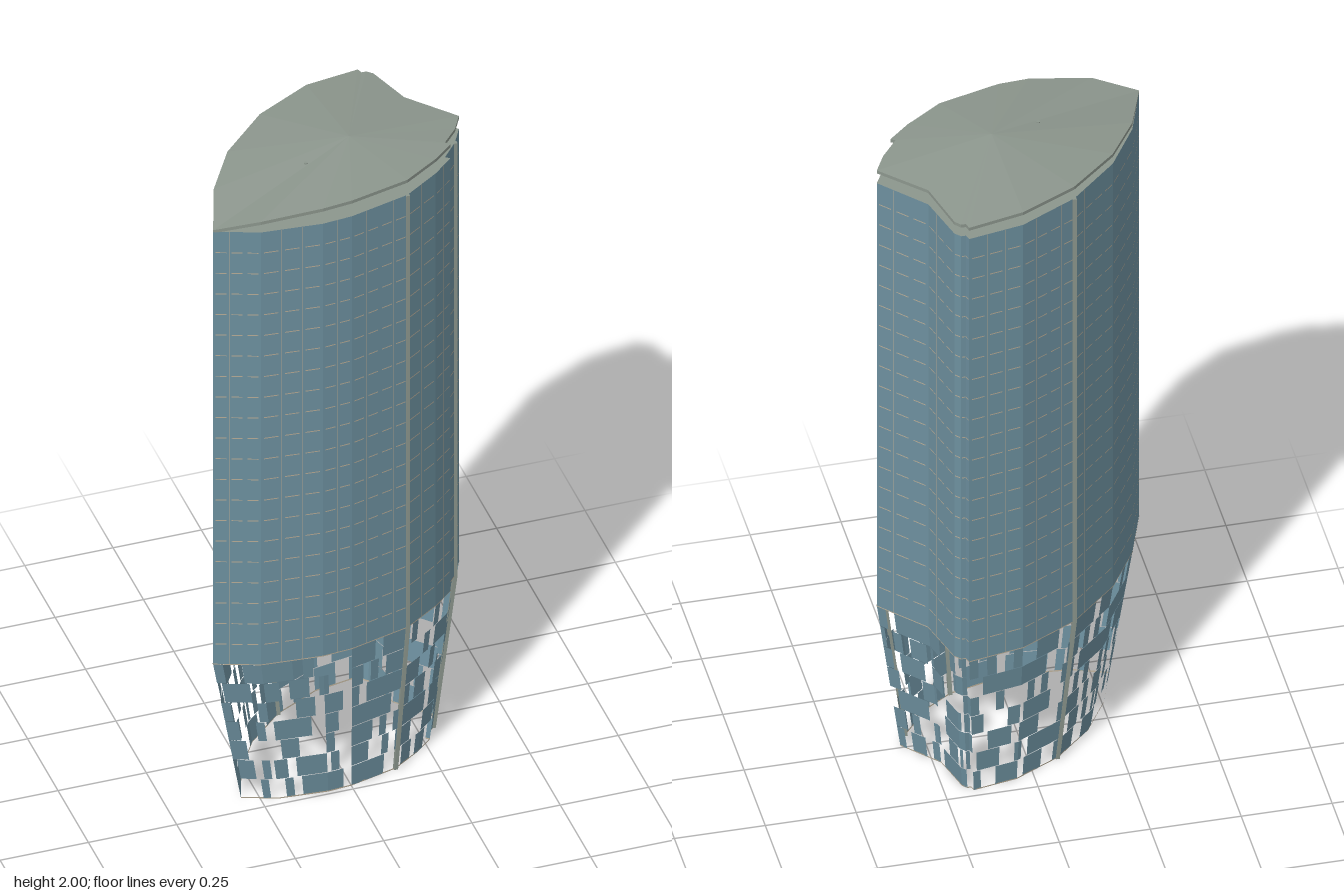
import * as THREE from 'three';

const glass = new THREE.MeshStandardMaterial({ color: 0x6d909f, side: THREE.DoubleSide });
glass.name = 'blue glass';
const slab = new THREE.MeshStandardMaterial({ color: 0x8c968d });
slab.name = 'grey green roofing';
const trim = new THREE.MeshStandardMaterial({ color: 0xb8ad98, side: THREE.DoubleSide });
trim.name = 'tan trim';

// Plan outline [x, z, roof rim height], clockwise seen from above
const plan = [
  [-0.39, 0.23, 1.925], [-0.335, 0.075, 1.942], [-0.25, -0.06, 1.953], [-0.115, -0.185, 1.96],
  [0.045, -0.267, 1.963], [0.2, -0.295, 1.958], [0.205, -0.278, 1.959], [0.218, -0.278, 1.959],
  [0.233, -0.262, 1.96], [0.272, -0.122, 1.968], [0.385, 0, 1.963], [0.355, 0.055, 1.965],
  [0.308, 0.11, 1.969], [0.32, 0.12, 1.967], [0.26, 0.172, 1.968], [0.157, 0.24, 1.97],
  [-0.015, 0.284, 1.972], [-0.1, 0.291, 1.97], [-0.27, 0.275, 1.955],
];
const CX = 0.06, CZ = 0.04;          // axis of the roof peak and of the podium taper
const PODIUM = 0.49, DECK = 1.92;

// Seeded random numbers
let seed = 11;
const rand = () => (seed = (seed * 16807) % 2147483647) / 2147483647;

// Point on the facade: edge i, fraction t, height y, outward offset
function facade(i, t, y, out = 0) {
  const a = plan[i], b = plan[(i + 1) % plan.length];
  const dx = b[0] - a[0], dz = b[1] - a[1], len = Math.hypot(dx, dz);
  const s = y < PODIUM ? 0.795 + 0.205 * y / PODIUM : 1;
  const x = a[0] + dx * t, z = a[1] + dz * t;
  return [CX + (x - CX) * s + dz / len * out, y, CZ + (z - CZ) * s - dx / len * out];
}

function edgeLength(i) {
  const a = plan[i], b = plan[(i + 1) % plan.length];
  return Math.hypot(b[0] - a[0], b[1] - a[1]);
}

function addQuad(list, i, t0, t1, y0, y1, out = 0) {
  const a0 = facade(i, t0, y0, out), a1 = facade(i, t0, y1, out);
  const b0 = facade(i, t1, y0, out), b1 = facade(i, t1, y1, out);
  list.push(...a0, ...a1, ...b1, ...a0, ...b1, ...b0);
}

function meshFrom(list, material, name) {
  const g = new THREE.BufferGeometry();
  g.setAttribute('position', new THREE.Float32BufferAttribute(list, 3));
  g.computeVertexNormals();
  const m = new THREE.Mesh(g, material);
  m.name = name;
  return m;
}

// Glazed shaft with its roof deck and underside
function makeShaft() {
  const shape = new THREE.Shape(plan.map(p => new THREE.Vector2(p[0], -p[1])));
  const g = new THREE.ExtrudeGeometry(shape, { depth: DECK - PODIUM, bevelEnabled: false });
  g.rotateX(-Math.PI / 2).translate(0, PODIUM, 0);
  const m = new THREE.Mesh(g, [slab, glass]);
  m.name = 'towerShaft';
  return m;
}

// Dashed floor lines and fine mullions on the shaft
function makeTrim() {
  const floors = [], mullions = [];
  const step = (DECK - PODIUM) / 21;
  plan.forEach((p, i) => {
    const len = edgeLength(i), n = Math.max(1, Math.round(len / 0.05));
    for (let k = 0; k < n; k++) {
      for (let f = 1; f < 21; f++) {
        const y = PODIUM + f * step;
        addQuad(floors, i, (k + 0.15) / n, (k + 0.85) / n, y - 0.0015, y + 0.0015, 0.001);
      }
      if (k > 0) addQuad(mullions, i, k / n - 0.0006 / len, k / n + 0.0006 / len, PODIUM, DECK, 0.0008);
    }
    // Edge strips at the foot of the shaft and at the ground
    addQuad(floors, i, 0, 1, PODIUM, PODIUM + 0.003, 0.001);
    addQuad(floors, i, 0, 1, 0, 0.004);
  });
  return [meshFrom(floors, trim, 'floorLines'), meshFrom(mullions, trim, 'mullions')];
}

// Tapering podium screen of scattered panels in seven staggered rows
function makePodium() {
  const panels = [], rows = 7, h = PODIUM / rows;
  plan.forEach((p, i) => {
    const n = Math.max(1, Math.round(edgeLength(i) / 0.027));
    for (let r = 0; r < rows; r++) {
      const shift = r % 2 ? 0.5 : 0;
      for (let k = -shift; k < n; k++) {
        if (rand() > 0.6) continue;
        const t0 = Math.max(0, k / n), t1 = Math.min(1, (k + 1) / n);
        addQuad(panels, i, t0, t1, r * h + 0.001, (r + 1) * h - 0.001);
      }
    }
  });
  return meshFrom(panels, glass, 'podiumPanels');
}

// Shallow faceted canopy rising to an off-centre peak
function makeRoof() {
  const pos = [], t = 0.01, n = plan.length;
  for (let i = 0; i < n; i++) {
    const [ax, az, ay] = plan[i], [bx, bz, by] = plan[(i + 1) % n];
    const a = [ax, ay, az], b = [bx, by, bz], c = [CX, 2, CZ];
    const al = [ax, ay - t, az], bl = [bx, by - t, bz], cl = [CX, 2 - t, CZ];
    pos.push(...c, ...b, ...a, ...cl, ...al, ...bl);
    pos.push(...al, ...a, ...b, ...al, ...b, ...bl);
  }
  return meshFrom(pos, slab, 'roofCanopy');
}

// Slim vertical fin following the shaft and the podium taper
function makeFin(i) {
  const g = new THREE.BoxGeometry(0.011, DECK, 0.011, 1, 2, 1).translate(0, DECK / 2, 0);
  const pos = g.attributes.position;
  for (let k = 0; k < pos.count; k++) {
    const level = Math.round(pos.getY(k) / (DECK / 2));
    const y = [0, PODIUM, DECK][level];
    const c = facade(i, 0, y);
    pos.setXYZ(k, pos.getX(k) + c[0], y, pos.getZ(k) + c[2]);
  }
  g.computeVertexNormals();
  const m = new THREE.Mesh(g, slab);
  m.name = 'verticalFin';
  return m;
}

export function createModel() {
  const group = new THREE.Group();
  group.name = 'tower';
  group.add(makeShaft(), ...makeTrim(), makePodium(), makeRoof());
  for (const i of [3, 11, 15]) group.add(makeFin(i));

  // Posts carrying the canopy
  for (const [x, z, top] of [[-0.08, 0.09, 1.98], [0.06, 0.04, 1.99], [0.15, -0.1, 1.975]]) {
    const post = new THREE.Mesh(new THREE.CylinderGeometry(0.005, 0.005, top - DECK, 8), slab);
    post.position.set(x, (top + DECK) / 2, z);
    post.name = 'roofPost';
    group.add(post);
  }
  return group;
}
